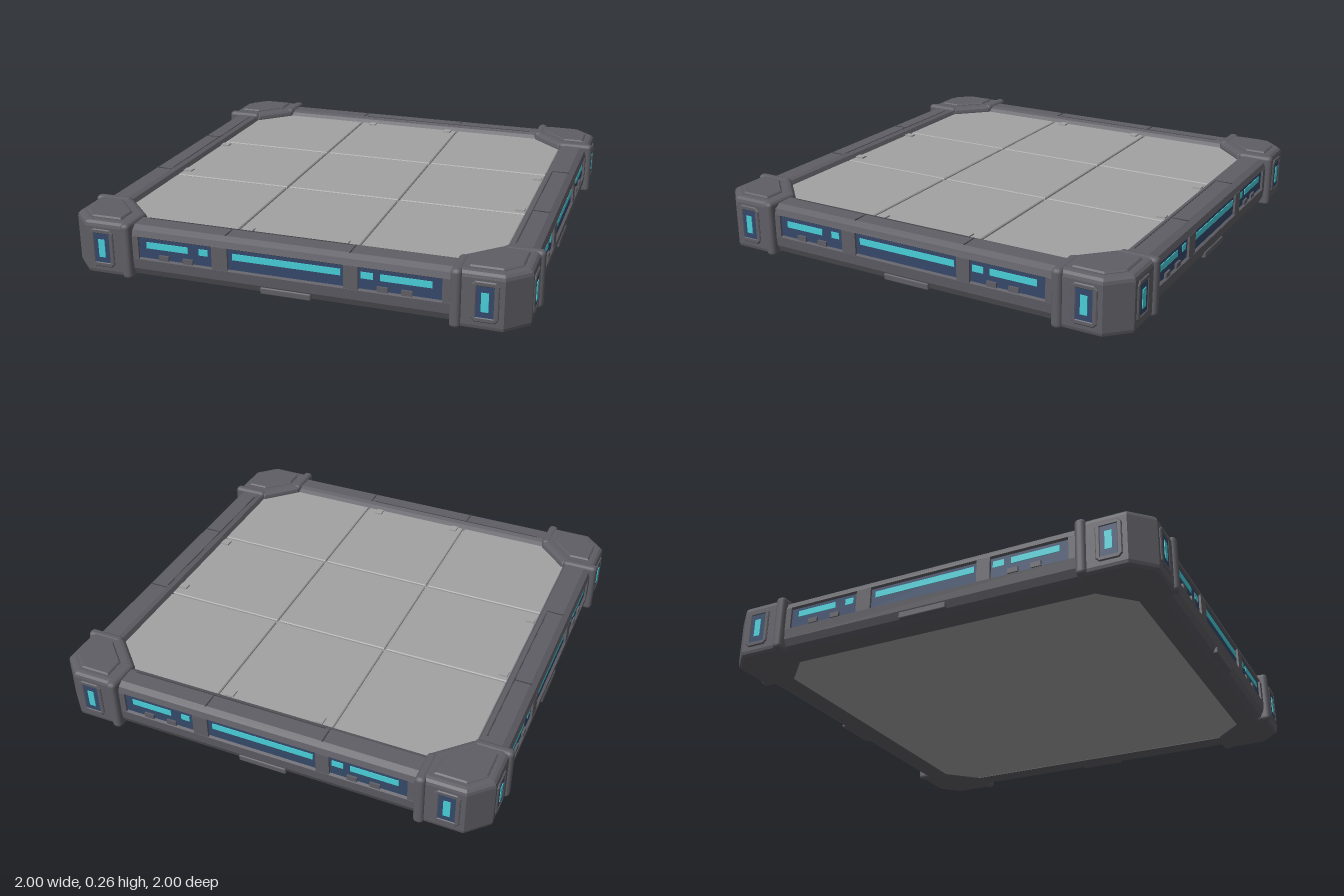
import * as THREE from 'three';
import { RoundedBoxGeometry } from 'three/addons/geometries/RoundedBoxGeometry.js';

const material = (name, color) => {
  const m = new THREE.MeshStandardMaterial({ color });
  m.name = name;
  return m;
};

const polygon = (points) => new THREE.Shape(points.map(([x, y]) => new THREE.Vector2(x, y)));

// Extrudes a footprint given in (x, z) between two heights, with chamfered rims.
function footprint(points, bottom, top, bevel = 0, segments = 1) {
  const g = new THREE.ExtrudeGeometry(polygon(points), {
    depth: top - bottom - 2 * bevel, bevelEnabled: bevel > 0,
    bevelSize: bevel, bevelThickness: bevel, bevelOffset: -bevel, bevelSegments: segments,
  });
  g.rotateX(Math.PI / 2);
  g.translate(0, top - bevel, 0);
  return g;
}

export function createModel() {
  const frame = material('dark frame grey', 0x5f5e65);
  const seam = material('seam grey', 0x45454a);
  const floor = material('floor grey', 0xa2a2a2);
  const blue = material('window blue', 0x35496a);
  const cyan = material('light cyan', 0x48cfd8);

  const model = new THREE.Group();
  model.name = 'floorPlatform';

  const add = (parent, name, geometry, mat, x = 0, y = 0, z = 0) => {
    const mesh = new THREE.Mesh(geometry, mat);
    mesh.name = name;
    mesh.position.set(x, y, z);
    parent.add(mesh);
    return mesh;
  };
  const box = (parent, name, mat, w, h, d, x, y, z) =>
    add(parent, name, new THREE.BoxGeometry(w, h, d), mat, x, y, z);

  // Floor slab with cut corners
  const e = 0.85, c = 0.71;
  add(model, 'floorSlab', footprint(
    [[-c, -e], [c, -e], [e, -c], [e, c], [c, e], [-c, e], [-e, c], [-e, -c]], 0.008, 0.205), floor);

  // Nine floor tiles; the outer four have a clipped corner
  const gap = 0.005, inner = 0.268, outer = 0.835, cut = 0.13;
  const spans = [[-outer, -inner - gap], [-inner + gap, inner - gap], [inner + gap, outer]];
  spans.forEach(([x0, x1], i) => spans.forEach(([z0, z1], j) => {
    const corners = [[x0, z0], [x1, z0], [x1, z1], [x0, z1]];
    const points = corners.flatMap(([x, z]) =>
      Math.abs(x) === outer && Math.abs(z) === outer
        ? (x * z > 0
          ? [[x, z - Math.sign(z) * cut], [x - Math.sign(x) * cut, z]]
          : [[x - Math.sign(x) * cut, z], [x, z - Math.sign(z) * cut]])
        : [[x, z]]);
    add(model, `floorTile${i}${j}`, footprint(points, 0.2, 0.216, 0.004), floor);
  }));

  // Rail cross-section (outward, up), with a groove for the windows
  const profile = polygon([
    [0.83, 0.006], [0.925, 0.006], [0.955, 0.02], [0.97, 0.05], [0.975, 0.095],
    [0.96, 0.102], [0.96, 0.188], [0.973, 0.196], [0.965, 0.222], [0.94, 0.238],
    [0.865, 0.24], [0.845, 0.232], [0.83, 0.205],
  ]);
  const length = 1.4;
  const railGeometry = new THREE.ExtrudeGeometry(profile, { depth: length, bevelEnabled: false });
  railGeometry.rotateY(-Math.PI / 2);
  railGeometry.translate(length / 2, 0, 0);

  // Rounded ring around each corner light
  const ring = polygon([[-0.04, -0.085], [0.04, -0.085], [0.055, -0.07], [0.055, 0.07],
    [0.04, 0.085], [-0.04, 0.085], [-0.055, 0.07], [-0.055, -0.07]]);
  ring.holes.push(new THREE.Path([[-0.034, -0.064], [-0.034, 0.064], [0.034, 0.064], [0.034, -0.064]]
    .map(([x, y]) => new THREE.Vector2(x, y))));
  const ringGeometry = new THREE.ExtrudeGeometry(ring, {
    depth: 0.006, bevelSize: 0.004, bevelThickness: 0.004, bevelOffset: -0.004, bevelSegments: 1,
  });
  const collarGeometry = new RoundedBoxGeometry(0.045, 0.248, 0.17, 2, 0.018);

  const windows = [[-0.655, -0.32], [-0.25, 0.25], [0.31, 0.65]];
  const lights = [[-0.62, -0.43], [-0.38, -0.34], [-0.23, 0.235], [0.32, 0.37], [0.4, 0.61]];
  const posts = [[-0.7, -0.655], [-0.32, -0.25], [0.25, 0.31], [0.65, 0.7]];

  // One side: rail, windows, collars and corner lights
  function createSide() {
    const side = new THREE.Group();
    add(side, 'rail', railGeometry, frame);
    for (const [a, b] of windows)
      box(side, 'window', blue, b - a, 0.088, 0.006, (a + b) / 2, 0.145, 0.961);
    for (const [a, b] of lights)
      box(side, 'lightStrip', cyan, b - a, 0.028, 0.006, (a + b) / 2, 0.16, 0.964);
    for (const [a, b] of posts)
      box(side, 'windowPost', frame, b - a, 0.1, 0.02, (a + b) / 2, 0.145, 0.964);
    for (const x of [-0.54, -0.43, 0.41, 0.51])
      box(side, 'windowStud', frame, 0.045, 0.022, 0.014, x, 0.111, 0.966);
    add(side, 'lowerTab', new RoundedBoxGeometry(0.22, 0.03, 0.04, 1, 0.006), frame, 0, 0.03, 0.953);
    for (const x of [-0.268, 0.268])
      box(side, 'railSeam', seam, 0.005, 0.003, 0.08, x, 0.24, 0.905);
    box(side, 'railGroove', seam, 0.9, 0.003, 0.005, -0.2, 0.24, 0.868);

    // Clips on the floor edge
    for (const x of [-0.22, 0.2])
      box(side, 'floorClip', floor, 0.035, 0.012, 0.04, x, 0.217, 0.808);

    for (const s of [-1, 1]) {
      add(side, 'cornerCollar', collarGeometry, frame, s * 0.705, 0.127, 0.915);
      add(side, 'cornerLightRing', ringGeometry, frame, s * 0.82, 0.128, 0.981);
      box(side, 'cornerWindow', blue, 0.07, 0.13, 0.006, s * 0.82, 0.128, 0.985);
      box(side, 'cornerLight', cyan, 0.03, 0.08, 0.006, s * 0.82, 0.128, 0.988);
    }
    return side;
  }

  // Corner block footprint and its raised cap
  const block = [[0.69, 0.985], [0.69, 0.825], [0.825, 0.69], [0.985, 0.69], [0.985, 0.895], [0.895, 0.985]];
  const cap = [[0.745, 0.945], [0.745, 0.85], [0.85, 0.745], [0.945, 0.745], [0.945, 0.88], [0.88, 0.945]];
  const blockGeometry = footprint(block, 0, 0.248, 0.026, 3);
  const capGeometry = footprint(cap, 0.24, 0.256, 0.006);

  ['front', 'left', 'back', 'right'].forEach((name, i) => {
    const side = createSide();
    side.name = `${name}Side`;
    add(side, 'cornerBlock', blockGeometry, frame);
    add(side, 'cornerCap', capGeometry, frame);
    side.rotation.y = i * Math.PI / 2;
    model.add(side);
  });

  return model;
}
